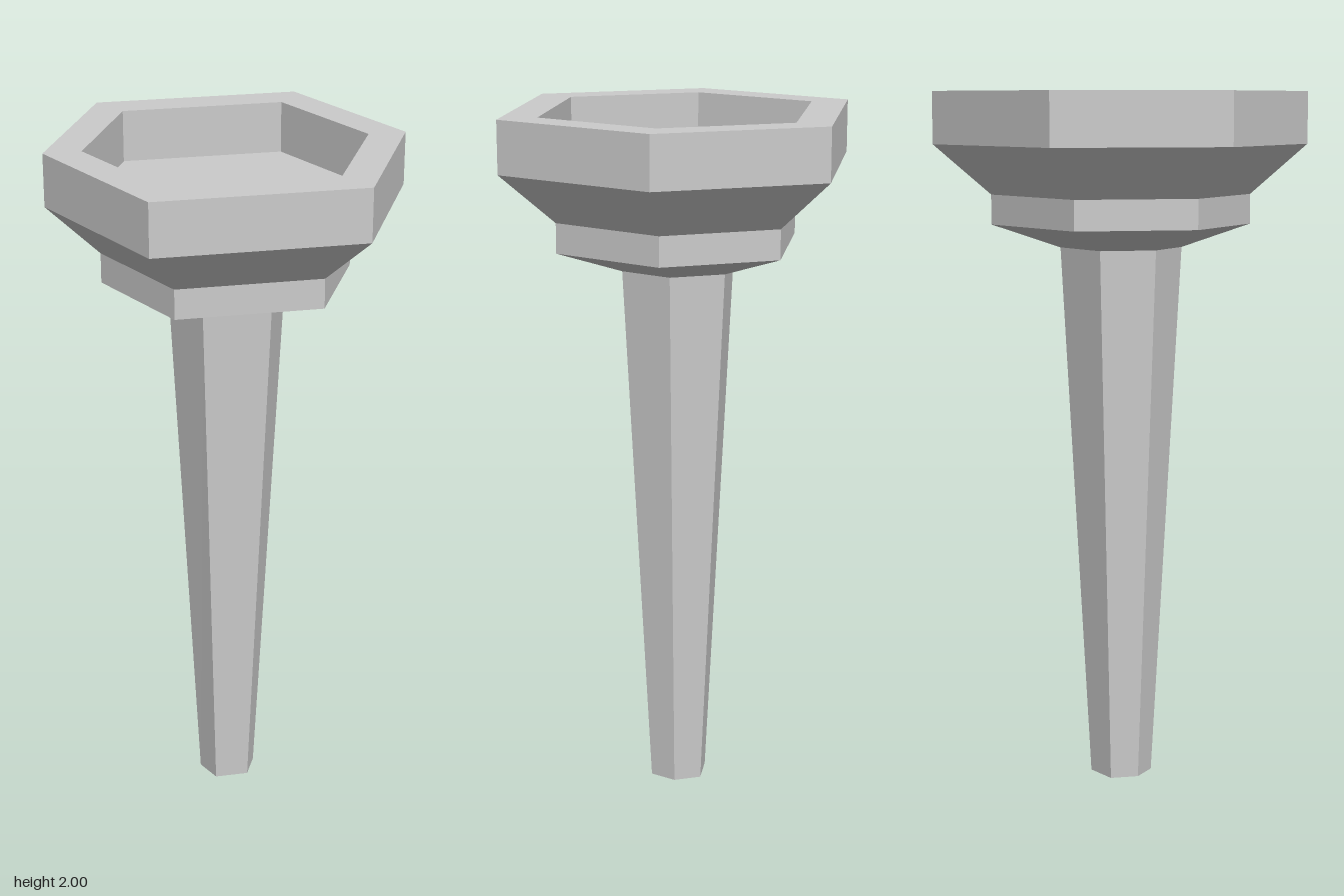
import * as THREE from 'three';

const material = new THREE.MeshStandardMaterial({ color: 0xcccccc, flatShading: true });

// Six-sided ring: points at ±x on the x axis, flat edges of half width w at ±z
function hexRing([y, x, w, z]) {
  return [[x, 0], [w, -z], [-w, -z], [-x, 0], [-w, z], [w, z]]
    .map(([px, pz]) => new THREE.Vector3(px, y, pz));
}

// Skin a list of [y, x, w, z] rings; a ring of size zero closes the end
function hexLoft(name, sections) {
  const rings = sections.map(hexRing);
  const points = [];
  for (let s = 0; s < rings.length - 1; s++) {
    const a = rings[s], b = rings[s + 1];
    for (let i = 0; i < 6; i++) {
      const j = (i + 1) % 6;
      if (sections[s][1] > 0) points.push(a[i], a[j], b[j]);
      if (sections[s + 1][1] > 0) points.push(a[i], b[j], b[i]);
    }
  }
  const geometry = new THREE.BufferGeometry().setFromPoints(points);
  geometry.computeVertexNormals();
  const mesh = new THREE.Mesh(geometry, material);
  mesh.name = name;
  return mesh;
}

export function createModel() {
  const group = new THREE.Group();
  group.name = 'hexagonalTorch';

  // Tapered handle, closed at the foot
  group.add(hexLoft('handle', [
    [0, 0, 0, 0],
    [0, 0.083, 0.049, 0.074],
    [1.558, 0.164, 0.096, 0.145],
  ]));

  // Collar flaring out of the handle
  group.add(hexLoft('collar', [
    [1.558, 0.164, 0.096, 0.145],
    [1.624, 0.352, 0.203, 0.31],
    [1.709, 0.352, 0.203, 0.31],
  ]));

  // Bowl: sloped underside, upright rim, recess with a flat floor
  group.add(hexLoft('bowl', [
    [1.709, 0.352, 0.203, 0.31],
    [1.851, 0.5, 0.29, 0.449],
    [2, 0.5, 0.29, 0.449],
    [2, 0.395, 0.23, 0.35],
    [1.853, 0.395, 0.23, 0.35],
    [1.853, 0, 0, 0],
  ]));

  return group;
}
